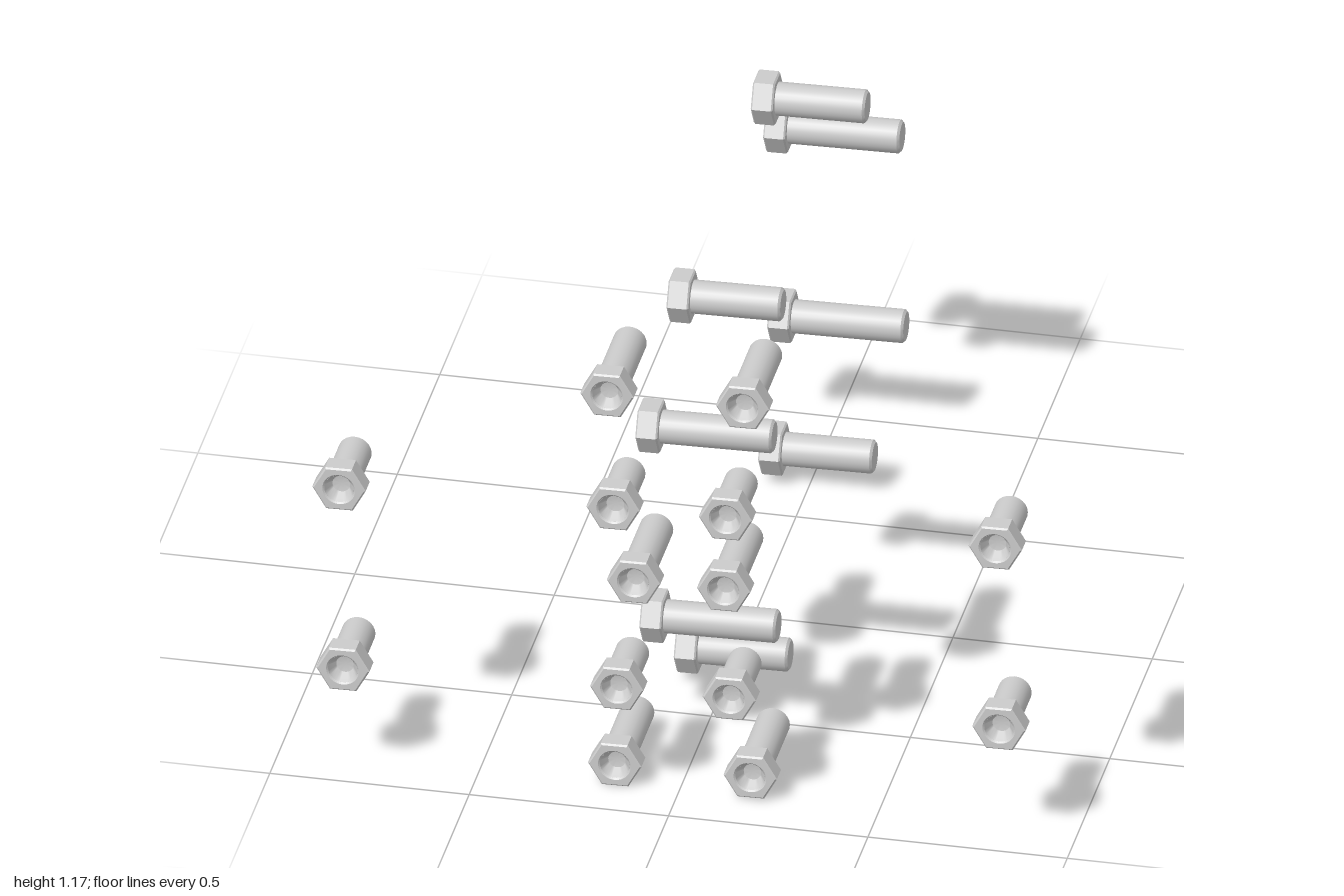
import * as THREE from 'three';
import { toCreasedNormals } from 'three/addons/utils/BufferGeometryUtils.js';

const HEAD_R = 0.067, HEAD_H = 0.055, SHAFT_R = 0.042, BEVEL = 0.004, SOCKET_R = 0.037;
const material = new THREE.MeshStandardMaterial({ color: 0xcccccc });

// Hexagonal head with a round opening; its front face lies at z = 0
function headGeometry() {
  const hex = new THREE.Shape();
  for (let i = 0; i < 6; i++) {
    const a = (i * Math.PI) / 3;
    hex[i ? 'lineTo' : 'moveTo'](HEAD_R * Math.cos(a), HEAD_R * Math.sin(a));
  }
  hex.closePath();
  hex.holes.push(new THREE.Path().absarc(0, 0, SOCKET_R, 0, Math.PI * 2, true));
  const g = new THREE.ExtrudeGeometry(hex, {
    depth: HEAD_H - 2 * BEVEL, curveSegments: 24,
    bevelThickness: BEVEL, bevelSize: BEVEL, bevelOffset: -BEVEL, bevelSegments: 1,
  });
  return g.translate(0, 0, BEVEL - HEAD_H);
}

// Shaft with a chamfered tip, continued up into the tapered socket
function shaftGeometry(length) {
  const profile = [
    [0, -length], [SHAFT_R - 0.006, -length], [SHAFT_R, -length + 0.006],
    [SHAFT_R, -HEAD_H], [SOCKET_R, -HEAD_H], [SOCKET_R, -BEVEL],
    [0.022, -0.03], [0, -0.034],
  ].map(([r, y]) => new THREE.Vector2(r, y));
  const g = new THREE.LatheGeometry(profile, 24).rotateX(Math.PI / 2);
  return toCreasedNormals(g, 0.5);
}

const head = headGeometry();

function bolt(name, length) {
  const g = new THREE.Group();
  g.name = name;
  for (const [part, geometry] of [['boltHead', head], ['boltShaft', shaftGeometry(length)]]) {
    const mesh = new THREE.Mesh(geometry, material);
    mesh.name = part;
    g.add(mesh);
  }
  return g;
}

export function createModel() {
  const model = new THREE.Group();
  model.name = 'boltSet';

  // The whole arrangement leans slightly about z
  const set = new THREE.Group();
  set.name = 'boltArrangement';
  set.position.y = 0.591;
  set.rotation.z = 0.0185;
  model.add(set);

  // Forward-facing bolts, in mirrored pairs: half spacing, height, head face z, length
  const frontRows = [
    ['upperFrontBolt', 0.17, 0.522, 0.885, 0.28],
    ['upperInnerBolt', 0.141, 0.254, 0.973, 0.194],
    ['middleFrontBolt', 0.113, 0, 0.885, 0.28],
    ['lowerInnerBolt', 0.141, -0.254, 0.973, 0.194],
    ['lowerFrontBolt', 0.17, -0.522, 0.885, 0.28],
    ['upperOuterBolt', 0.823, 0.255, 0.998, 0.197],
    ['lowerOuterBolt', 0.823, -0.255, 0.998, 0.197],
  ];
  for (const [name, x, y, z, length] of frontRows) {
    for (const side of [1, -1]) {
      const b = bolt(name, length);
      b.position.set(side * x, y, z);
      set.add(b);
    }
  }

  // Crosswise bolts with heads on the -x side: z, half height, head face x, length
  const crossRows = [
    ['frontLongCrossBolt', 0.574, 0.268, -0.156, 0.336],
    ['frontShortCrossBolt', 0.32, 0.495, -0.128, 0.28],
    ['rearShortCrossBolt', -0.673, 0.495, -0.128, 0.28],
    ['rearLongCrossBolt', -0.93, 0.268, -0.156, 0.336],
  ];
  for (const [name, z, y, x, length] of crossRows) {
    for (const side of [1, -1]) {
      const b = bolt(name, length);
      b.rotation.y = -Math.PI / 2;
      b.position.set(x, side * y, z);
      set.add(b);
    }
  }
  return model;
}
